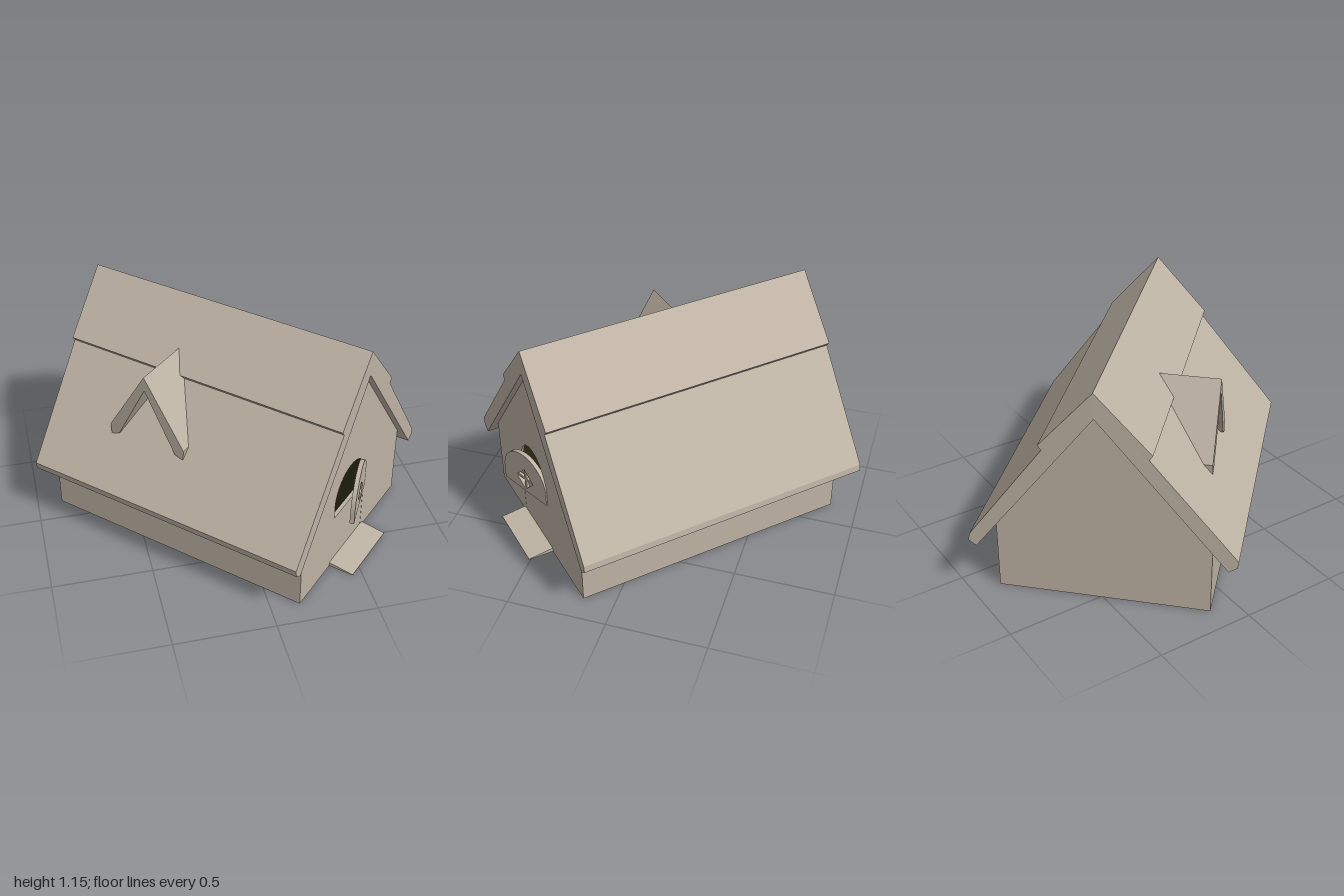
import * as THREE from 'three';

export function createModel() {
  const plaster = new THREE.MeshStandardMaterial({ color: 0xbeb3a4 });
  plaster.name = 'warmStone';
  const dark = new THREE.MeshStandardMaterial({ color: 0x2a2a14, side: THREE.DoubleSide });
  dark.name = 'darkInterior';

  const root = new THREE.Group();
  root.name = 'cottage';
  // The ridge runs diagonally, so the house is built square and then turned
  const house = new THREE.Group();
  house.name = 'house';
  house.rotation.y = Math.PI / 4;
  root.add(house);

  const add = (name, geo, parent = house, mat = plaster) => {
    const mesh = new THREE.Mesh(geo, mat);
    mesh.name = name;
    parent.add(mesh);
    return mesh;
  };
  const poly = pts => new THREE.Shape(pts.map(p => new THREE.Vector2(...p)));
  const extrude = (shape, depth, z = 0) =>
    new THREE.ExtrudeGeometry(shape, { depth, bevelEnabled: false, curveSegments: 12 }).translate(0, 0, z);
  const box = (w, h, d, x, y, z) => new THREE.BoxGeometry(w, h, d).translate(x, y, z);

  // Main roof: two overlapping layers per slope with bevelled eaves
  const roofGeo = extrude(poly([
    [0.01, 1.155], [0.268, 0.862], [0.25, 0.84], [0.622, 0.33], [0.626, 0.295], [0.59, 0.268],
    [0.008, 1.026],
    [-0.605, 0.268], [-0.645, 0.295], [-0.65, 0.33], [-0.235, 0.84], [-0.252, 0.862],
  ]), 1.545, -0.781);
  const rp = roofGeo.attributes.position;
  for (let i = 0; i < rp.count; i++) {
    // the back edge is slightly out of square
    if (rp.getZ(i) < 0 && rp.getX(i) < 0) rp.setZ(i, rp.getZ(i) - rp.getX(i) * 0.055);
  }
  roofGeo.computeVertexNormals();
  add('roof', roofGeo);

  // Walls, open underneath
  const L = -0.525, R = 0.508, front = 0.728, back = -0.713, t = 0.012;
  const doorL = -0.2, doorR = 0.12, doorX = -0.04, doorW = 0.16, spring = 0.365, split = 0.295;
  const gableTop = [[R, 0.39], [0.008, 1.04], [L, 0.39]];
  add('backWall', extrude(poly([[L, 0], [R, 0], ...gableTop]), t, back));
  const frontShape = poly([[doorR, 0], [R, 0], ...gableTop, [L, 0], [doorL, 0], [doorL, spring]]);
  frontShape.absarc(doorX, spring, doorW, Math.PI, 0, true);
  add('frontWall', extrude(frontShape, t, front - t));
  for (const [name, x] of [['rightWall', L + t / 2], ['leftWall', R - t / 2]])
    add(name, box(t, 0.4, front - back - 0.004, x, 0.2, (front + back) / 2));

  // Dark entry recess, open toward the doorway (front face left out)
  const recess = box(0.35, 0.55, 0.225, doorX, 0.276, front - t - 0.1125);
  const idx = Array.from(recess.index.array);
  recess.setIndex([...idx.slice(0, 24), ...idx.slice(30)]);
  recess.clearGroups();
  add('entryRecess', recess, house, dark);

  // Closed lower half of the door
  add('lowerDoor', box(doorW * 2, split, 0.02, doorX, split / 2, front - 0.011));

  // Upper half, swung open on its hinge, with a diamond window
  const leaf = new THREE.Group();
  leaf.name = 'upperDoor';
  leaf.position.set(doorR, 0, front - 0.004);
  leaf.rotation.y = 0.29;
  house.add(leaf);
  const leafShape = poly([[-2 * doorW, split], [0, split], [0, spring]]);
  leafShape.absarc(-doorW, spring, doorW, 0, Math.PI, false);
  const r = 0.062, cy = 0.37;
  leafShape.holes.push(new THREE.Path([[r, 0], [0, -r], [-r, 0], [0, r]]
    .map(([x, y]) => new THREE.Vector2(x - doorW, y + cy))));
  add('doorLeaf', extrude(leafShape, 0.022, -0.011), leaf);
  add('windowBarUpright', box(0.014, 2 * r, 0.014, -doorW, cy, 0), leaf);
  add('windowBarLevel', box(2 * r, 0.014, 0.014, -doorW, cy, 0), leaf);

  // Sloping doorstep
  add('doorstep', extrude(poly([[0, 0], [0.135, 0], [0.135, 0.004], [0, 0.022]]), 0.36)
    .rotateY(-Math.PI / 2).translate(0.14, 0, front - 0.005));

  // Dormer hood: a chevron whose back end follows the main roof slope
  const roofX = y => (y < 0.855 ? -0.235 - (0.84 - y) / 1.23 : 0.01 - (1.155 - y) / 1.12);
  const dormer = extrude(poly([
    [-0.21, 0.55], [-0.215, 0.605], [0, 0.955], [0.215, 0.605], [0.21, 0.55],
    [0.165, 0.565], [0, 0.88], [-0.165, 0.565],
  ]), 1);
  const dp = dormer.attributes.position;
  for (let i = 0; i < dp.count; i++) {
    const s = dp.getX(i), y = dp.getY(i);
    dp.setXYZ(i, dp.getZ(i) < 0.5 ? -0.47 : roofX(y) + 0.03, y, -0.173 - s);
  }
  dormer.computeVertexNormals();
  add('dormer', dormer);

  return root;
}
